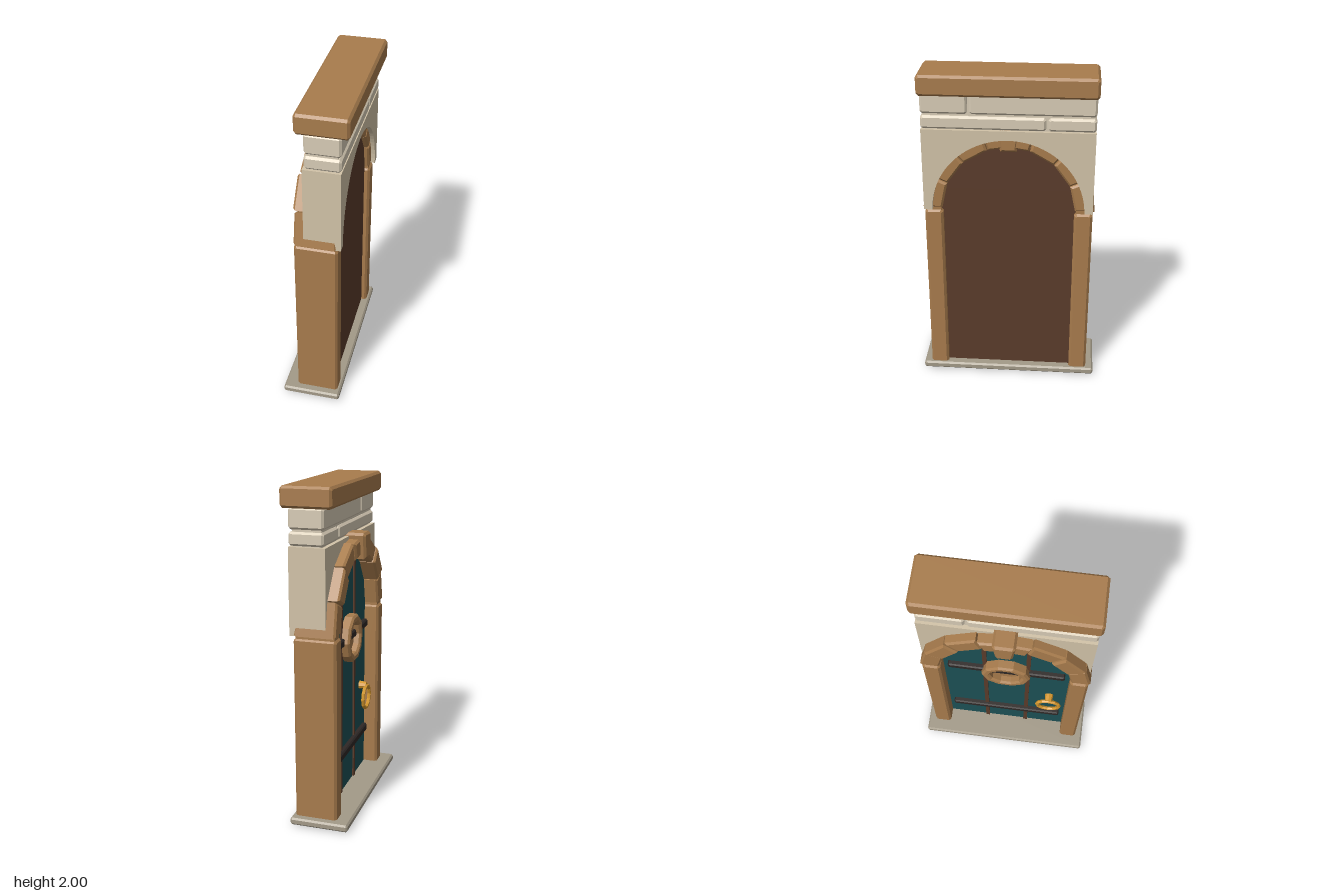
import * as THREE from 'three';

const mat = (color) => new THREE.MeshStandardMaterial({ color, flatShading: true });

export function createModel() {
  const model = new THREE.Group();
  const wood = mat(0xa87c4d), slab = mat(0xa39a88), plaster = mat(0xd2c3a8), brick = mat(0xd8ccb6);
  const darkWood = mat(0x5a3c2b), teal = mat(0x1c5055), iron = mat(0x2e2826), gold = mat(0xd6982e);
  const SPRING = 1.16; // height where the arch starts

  const add = (name, geometry, material) => {
    const mesh = new THREE.Mesh(geometry, material);
    mesh.name = name;
    model.add(mesh);
    return mesh;
  };

  // Outline in the (-z, y) plane, extruded along x with chamfered rims
  const prism = (name, shape, x0, x1, bevel, material, curveSegments = 10) => {
    const g = new THREE.ExtrudeGeometry(shape, {
      depth: x1 - x0 - 2 * bevel, bevelEnabled: bevel > 0, bevelThickness: bevel,
      bevelSize: bevel, bevelOffset: -bevel, bevelSegments: 1, curveSegments,
    });
    g.translate(0, 0, x0 + bevel).rotateY(Math.PI / 2);
    return add(name, g, material);
  };
  const poly = (pts) => new THREE.Shape(pts.map(([u, v]) => new THREE.Vector2(u, v)));

  // Box with all edges chamfered
  const block = (name, x0, x1, y0, y1, z0, z1, c, material) => {
    const a = -z1, b = -z0;
    const pts = c > 0
      ? [[a + c, y0], [b - c, y0], [b, y0 + c], [b, y1 - c], [b - c, y1], [a + c, y1], [a, y1 - c], [a, y0 + c]]
      : [[a, y0], [b, y0], [b, y1], [a, y1]];
    return prism(name, poly(pts), x0, x1, c, material);
  };

  // Base slab, top beam
  block('baseSlab', -0.2, 0.155, 0.008, 0.052, -0.547, 0.547, 0.01, slab);
  block('topBeam', -0.1, 0.2, 1.88, 2, -0.51, 0.51, 0.014, wood);

  // Brick courses around a recessed core
  block('brickCore', -0.035, 0.135, 1.66, 1.89, -0.485, 0.485, 0, brick);
  for (const [y0, y1, joint] of [[1.765, 1.885, 0.225], [1.675, 1.752, -0.222]]) {
    block('brick', -0.05, 0.155, y0, y1, -0.5, joint - 0.006, 0.012, brick);
    block('brick', -0.05, 0.155, y0, y1, joint + 0.006, 0.5, 0.012, brick);
  }

  // Plaster wall with the arch cut out of its lower edge
  const wall = new THREE.Shape();
  wall.moveTo(-0.5, 1.165).lineTo(-0.45, 1.165);
  wall.absarc(0, 1.165, 0.45, Math.PI, 0, true);
  wall.lineTo(0.5, 1.165).lineTo(0.5, 1.67).lineTo(-0.5, 1.67).closePath();
  prism('archWall', wall, -0.06, 0.155, 0, plaster, 20);

  // Posts, with a thin recessed joint under the arch
  for (const s of [-1, 1]) {
    const z0 = Math.min(s * 0.39, s * 0.5), z1 = Math.max(s * 0.39, s * 0.5);
    block('post', -0.12, 0.135, 0, 1.152, z0, z1, 0.014, wood);
    block('postJoint', -0.108, 0.123, 1.14, 1.18, z0 + 0.01, z1 - 0.01, 0, wood);
  }

  // Arch stones, each a straight-sided wedge
  const cuts = [0, 24, 48, 72, 108, 132, 156, 180];
  for (let i = 0; i < cuts.length - 1; i++) {
    const a = THREE.MathUtils.degToRad(cuts[i] + 0.4), b = THREE.MathUtils.degToRad(cuts[i + 1] - 0.4);
    const at = (r, t) => [r * Math.cos(t), SPRING + 0.003 + r * Math.sin(t)];
    const m = (a + b) / 2;
    const pts = i === 3
      ? [at(0.395, a), at(0.5, a), at(0.5, m), at(0.5, b), at(0.395, b), at(0.395, m)]
      : [at(0.395, a), at(0.51, a), at(0.51, b), at(0.395, b)];
    prism('archStone', poly(pts), i % 2 ? -0.128 : -0.118, 0.13, 0.012, wood);
  }
  prism('keystone', poly([[-0.048, 1.535], [0.048, 1.535], [0.066, 1.675], [0.052, 1.69], [-0.052, 1.69], [-0.066, 1.675]]),
    -0.16, 0.135, 0.014, wood);

  // Arched door leaf: painted face and plain back
  const leaf = (y0) => {
    const s = new THREE.Shape();
    s.moveTo(-0.4, y0).lineTo(0.4, y0).lineTo(0.4, SPRING);
    s.absarc(0, SPRING, 0.4, 0, Math.PI, false);
    return s.closePath();
  };
  prism('doorFace', leaf(0), -0.03, 0.04, 0, teal);
  prism('doorBack', leaf(0.002), 0.04, 0.1, 0, darkWood);

  // Plank seams and iron straps
  for (const z of [-0.133, 0.133]) block('plankSeam', -0.04, 0, 0.04, 1.53, z - 0.013, z + 0.013, 0, darkWood);
  for (const y of [0.315, 1.04]) block('strap', -0.06, 0, y - 0.025, y + 0.025, -0.36, 0.36, 0.008, iron);

  // Round window: faceted frame and inner panel
  const frame = new THREE.Shape(), hole = new THREE.Path();
  for (let i = 0; i < 10; i++) {
    const t = (i / 10) * Math.PI * 2, c = Math.cos(t), s = Math.sin(t);
    frame[i ? 'lineTo' : 'moveTo'](0.15 * c, 1.035 + 0.15 * s);
    hole[i ? 'lineTo' : 'moveTo'](0.1 * c, 1.035 + 0.1 * s);
  }
  frame.closePath();
  hole.closePath();
  frame.holes.push(hole);
  prism('windowFrame', frame, -0.09, -0.01, 0.012, wood);
  const panel = add('windowPanel', new THREE.CylinderGeometry(0.12, 0.12, 0.04, 10), wood);
  panel.rotation.z = Math.PI / 2;
  panel.position.set(-0.025, 1.035, 0);

  // Ring handle hanging from a knob
  const knob = add('handleKnob', new THREE.CylinderGeometry(0.022, 0.028, 0.05, 8), gold);
  knob.rotation.z = Math.PI / 2;
  knob.position.set(-0.052, 0.635, 0.28);
  const ring = add('handleRing', new THREE.TorusGeometry(0.074, 0.012, 6, 12), gold);
  ring.rotation.y = Math.PI / 2;
  ring.position.set(-0.075, 0.556, 0.28);

  return model;
}
